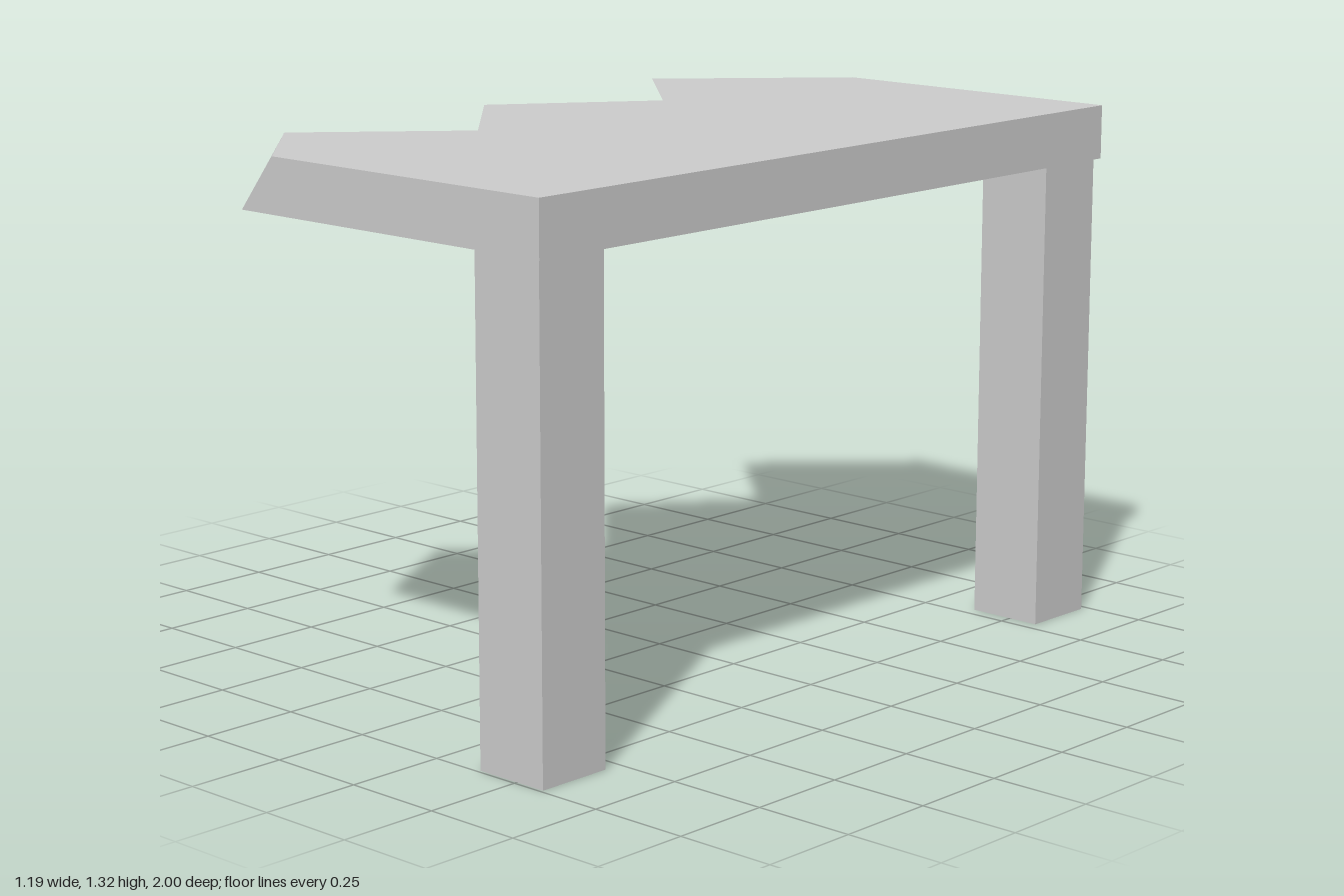
import * as THREE from 'three';

const material = new THREE.MeshStandardMaterial({ color: 0xcccccc, flatShading: true });
const TOP = 1.315, UNDER = 1.18;

// Outlines [x, z]: broken edge from back to front, then the two intact corners
const corners = [[0.59, 1], [0.59, -1]];
const upper = [[-0.23, -1], [-0.6, -0.61], [-0.28, -0.31], [-0.55, 0.06],
  [-0.23, 0.39], [-0.54, 0.73], [-0.27, 1], ...corners];
const lower = [[-0.25, -1], [-0.36, -0.8], [-0.21, -0.4], [-0.4, -0.18],
  [-0.24, 0.2], [-0.455, 0.59], [-0.38, 1], ...corners];

function brokenSlabGeometry() {
  const top = upper.map(([x, z]) => new THREE.Vector3(x, TOP, z));
  const under = lower.map(([x, z]) => new THREE.Vector3(x, UNDER, z));
  const points = [];

  // Flat faces, each triangle turned to face up or down
  const cap = (ring, direction) => {
    const contour = ring.map((p) => new THREE.Vector2(p.x, p.z));
    for (const face of THREE.ShapeUtils.triangulateShape(contour, [])) {
      const [a, b, c] = face.map((i) => ring[i]);
      const up = (b.z - a.z) * (c.x - a.x) - (b.x - a.x) * (c.z - a.z);
      points.push(...(up * direction > 0 ? [a, b, c] : [a, c, b]));
    }
  };
  cap(top, 1);
  cap(under, -1);

  // Sides: two facets between neighbouring outline points
  top.forEach((t, i) => {
    const j = (i + 1) % top.length;
    const b = under[i], tn = top[j], bn = under[j];
    if (i === 0) points.push(t, b, tn, b, bn, tn);
    else points.push(t, b, bn, t, bn, tn);
  });

  const geometry = new THREE.BufferGeometry().setFromPoints(points);
  geometry.computeVertexNormals();
  return geometry;
}

export function createModel() {
  const model = new THREE.Group();
  model.name = 'brokenTable';

  const slab = new THREE.Mesh(brokenSlabGeometry(), material);
  slab.name = 'brokenTabletop';
  model.add(slab);

  // The two remaining legs
  const legGeometry = new THREE.BoxGeometry(0.197, UNDER, 0.197);
  for (const [name, z] of [['frontLeg', 0.894], ['backLeg', -0.883]]) {
    const leg = new THREE.Mesh(legGeometry, material);
    leg.name = name;
    leg.position.set(0.483, UNDER / 2, z);
    model.add(leg);
  }
  return model;
}
